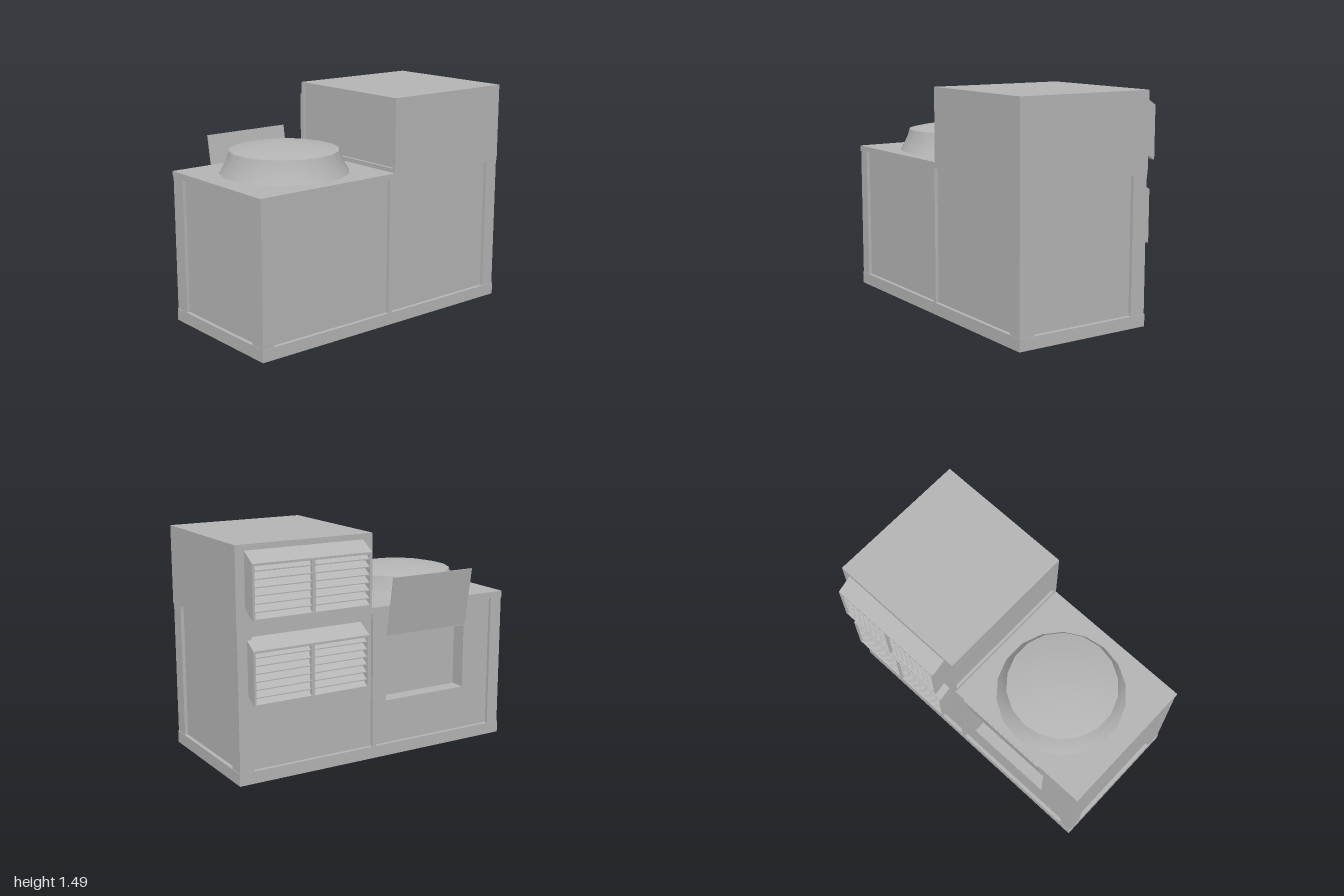
import * as THREE from 'three';

const grey = new THREE.MeshStandardMaterial({ color: 0xb4b4b4 });
grey.name = 'painted grey metal';

function add(parent, name, geometry) {
  const mesh = new THREE.Mesh(geometry, grey);
  mesh.name = name;
  parent.add(mesh);
  return mesh;
}

// box given by its limits on each axis
function span(x0, x1, y0, y1, z0, z1) {
  return new THREE.BoxGeometry(x1 - x0, y1 - y0, z1 - z0)
    .translate((x0 + x1) / 2, (y0 + y1) / 2, (z0 + z1) / 2);
}

// plate facing +z with optional rectangular holes, each [x0, x1, y0, y1]
function plate([x0, x1, y0, y1], z0, z1, holes = []) {
  const rect = (C, a, b, c, d) => new C([[a, c], [b, c], [b, d], [a, d]].map(p => new THREE.Vector2(...p)));
  const shape = rect(THREE.Shape, x0, x1, y0, y1);
  shape.holes = holes.map(h => rect(THREE.Path, ...h));
  return new THREE.ExtrudeGeometry(shape, { depth: z1 - z0, bevelEnabled: false }).translate(0, 0, z0);
}

// one side of the cabinet: posts with recessed panels between them
function wall(name, angle, out, half, panels, holes = []) {
  const g = new THREE.Group();
  g.name = name;
  g.rotation.y = angle;
  let edge = -half;
  for (const [a, b] of panels) {
    add(g, 'post', span(edge, a, 0.08, 0.97, out - 0.024, out));
    const inside = holes.filter(h => h[0] > a && h[1] < b);
    add(g, 'recessedPanel', plate([a, b, 0.08, 0.97], out - 0.042, out - 0.022, inside));
    edge = b;
  }
  add(g, 'post', span(edge, half, 0.08, 0.97, out - 0.024, out));
  return g;
}

// louvred hood that slopes downwards as it leaves the wall
function hood(name, x0, x1, y0, y1, out) {
  const g = new THREE.Group();
  g.name = name;
  const d = 0.105, t = 0.014, mid = (x0 + x1) / 2;
  const part = (partName, ...limits) => {
    const geo = span(...limits);
    const p = geo.attributes.position;
    for (let i = 0; i < p.count; i++) p.setY(i, p.getY(i) - 0.6 * p.getZ(i));
    geo.computeVertexNormals();
    add(g, partName, geo);
  };
  part('hoodTop', x0, x1, y1 - t, y1, 0, d);
  part('hoodBottom', x0, x1, y0, y0 + t, 0, d);
  part('hoodCheek', x0, x0 + t, y0 + t, y1 - t, 0, d);
  part('hoodCheek', x1 - t, x1, y0 + t, y1 - t, 0, d);
  part('hoodMullion', mid - 0.012, mid + 0.012, y0 + t, y1 - t, 0.08, d - 0.002);
  for (let i = 1; i < 7; i++) {
    const y = y0 + (y1 - y0) * i / 7;
    part('louvre', x0 + t, x1 - t, y - 0.003, y + 0.003, 0.045, d - 0.008);
  }
  g.position.z = out;
  return g;
}

export function createModel() {
  const model = new THREE.Group();
  model.name = 'rooftopVentilationUnit';
  const cabinet = new THREE.Group();
  cabinet.name = 'cabinet';
  cabinet.position.x = 0.05;
  model.add(cabinet);

  // open base rail
  const base = new THREE.Group();
  base.name = 'baseRail';
  cabinet.add(base);
  for (const s of [-1, 1]) {
    add(base, 'sideRail', span(-0.0145, 0.0145, 0, 0.08, -1, 1)).position.x = s * 0.4655;
    add(base, 'endRail', span(-0.451, 0.451, 0, 0.08, -0.0145, 0.0145)).position.z = s * 0.9855;
  }

  // lower walls
  const niche = [0.08, 0.70, 0.37, 0.80];
  const inlet = [-0.88, -0.16, 0.60, 0.90];
  const endPanel = [[-0.37, 0.37]];
  cabinet.add(wall('frontWall', 0, 0.996, 0.477, endPanel));
  cabinet.add(wall('backWall', Math.PI, 0.996, 0.477, endPanel));
  cabinet.add(wall('leftWall', Math.PI / 2, 0.477, 0.972, [[-0.91, 0.01], [0.04, 0.90]]));
  const right = wall('rightWall', -Math.PI / 2, 0.477, 0.972, [[-0.90, -0.04], [-0.01, 0.91]], [niche, inlet]);
  cabinet.add(right);

  // recessed niche behind the open hatch
  const [a, b, c, d] = niche, zo = 0.436, zi = 0.35, t = 0.005;
  add(right, 'nicheBack', span(a - t, b + t, c - t, d + t, zi - t, zi));
  add(right, 'nicheFloor', span(a - t, b + t, c - t, c, zi, zo));
  add(right, 'nicheCeiling', span(a - t, b + t, d, d + t, zi, zo));
  add(right, 'nicheSide', span(a - t, a, c, d, zi, zo));
  add(right, 'nicheSide', span(b, b + t, c, d, zi, zo));

  // louvred hoods
  right.add(hood('upperHood', -0.94, -0.12, 1.108, 1.453, 0.48));
  right.add(hood('lowerHood', -0.93, -0.12, 0.578, 0.924, 0.455));

  // raised hatch
  const hatch = add(model, 'hatch', new THREE.BoxGeometry(0.008, 0.395, 0.62));
  hatch.position.set(-0.443, 1.005, 0.39);
  hatch.rotation.z = 0.163;

  // deck and upper housing
  add(cabinet, 'deck', span(-0.48, 0.48, 0.97, 1.01, -1, 1));
  add(cabinet, 'upperHousing', span(-0.48, 0.48, 1.01, 1.49, -1, -0.07));
  add(cabinet, 'upperFrontFrame',
    plate([-0.48, 0.48, 1.01, 1.49], -0.07, -0.05, [[-0.463, 0.46, 1.037, 1.466]]));

  // flared fan cowl with a shallow dome
  const lathe = pts => new THREE.LatheGeometry(pts.map(p => new THREE.Vector2(...p)), 18, Math.PI / 2);
  const fan = new THREE.Group();
  fan.name = 'fanCowl';
  fan.position.set(0.03, 0, 0.45);
  add(fan, 'flare', lathe([[0.42, 1.008], [0.396, 1.05], [0.372, 1.1], [0.355, 1.155]]));
  add(fan, 'dome', lathe([[0.355, 1.155], [0.27, 1.174], [0.18, 1.188], [0.09, 1.196], [0, 1.199]]));
  model.add(fan);

  return model;
}
